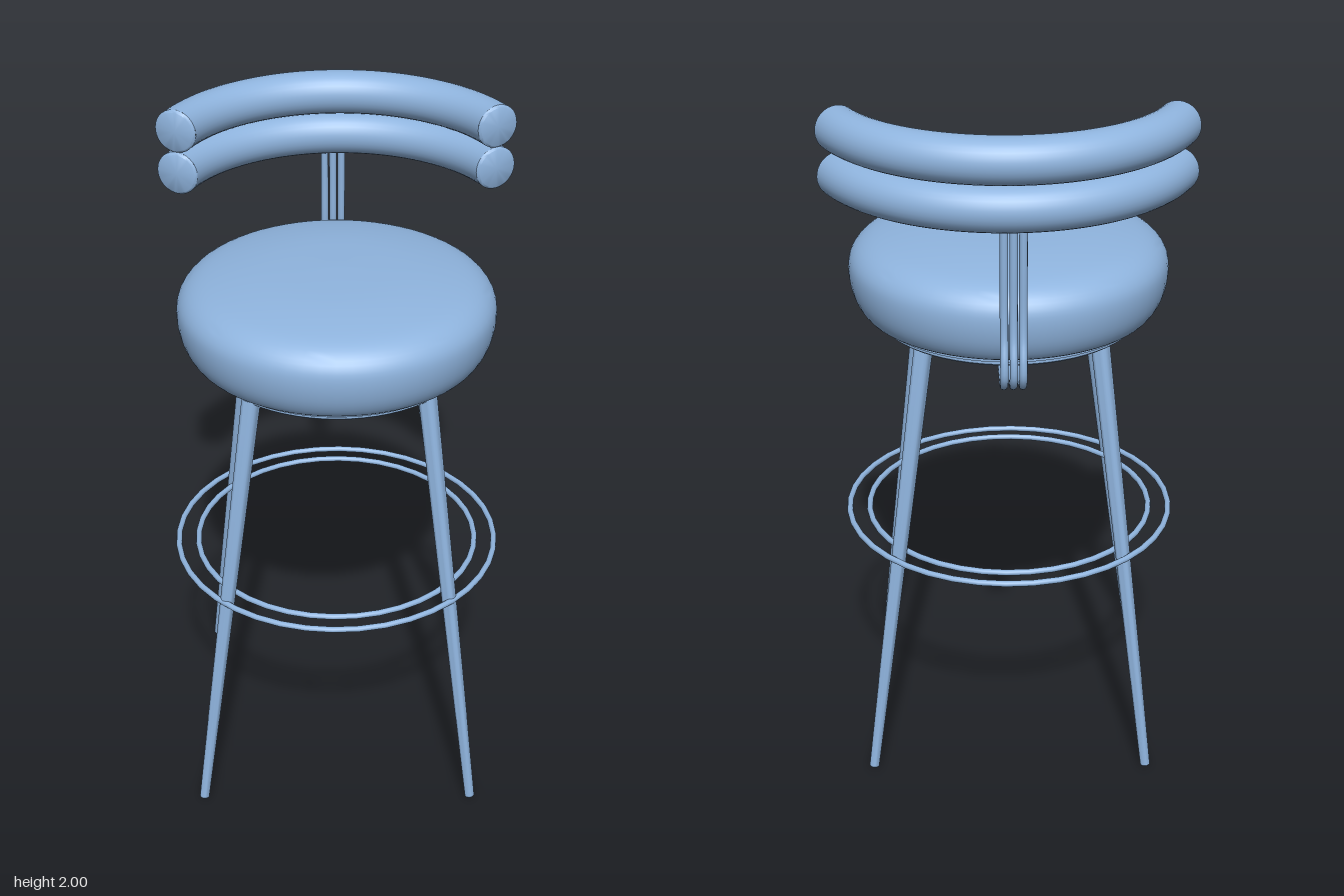
import * as THREE from 'three';
import { toCreasedNormals } from 'three/addons/utils/BufferGeometryUtils.js';

const UP = new THREE.Vector3(0, 1, 0);

export function createModel() {
  const group = new THREE.Group();
  const material = new THREE.MeshStandardMaterial({ color: 0x8fb4de });

  const add = (name, geometry, x = 0, y = 0, z = 0, parent = group) => {
    const mesh = new THREE.Mesh(geometry, material);
    mesh.name = name;
    mesh.position.set(x, y, z);
    parent.add(mesh);
    return mesh;
  };
  const lathe = (points, segments) => toCreasedNormals(
    new THREE.LatheGeometry(points.map(([r, y]) => new THREE.Vector2(r, y)), segments), 0.7);

  // Seat cushion: domed top, rounded side, tucked in at the bottom
  const side = new THREE.SplineCurve([
    [0.385, 1.352], [0.418, 1.365], [0.444, 1.41], [0.455, 1.47], [0.447, 1.52],
    [0.41, 1.558], [0.34, 1.581], [0.2, 1.6], [0, 1.607],
  ].map(([r, y]) => new THREE.Vector2(r, y)));
  const cushion = side.getPoints(32).map((p) => [Math.max(p.x, 0), p.y]);
  add('seatCushion', lathe([[0, 1.352], ...cushion], 64), -0.015, 0, -0.02);

  // Plate under the cushion
  add('seatPlate', lathe([
    [0, 1.325], [0.37, 1.325], [0.377, 1.331], [0.377, 1.341],
    [0.388, 1.343], [0.388, 1.356], [0, 1.356],
  ], 64), -0.015, 0, -0.02);

  // Four tapered, splayed legs with separate tips
  const legs = new THREE.Group();
  legs.name = 'legs';
  group.add(legs);
  const foot = new THREE.Vector3(0.555, 0, 0.165);
  const top = new THREE.Vector3(0.333, 1.335, 0.088);
  const length = foot.distanceTo(top);
  const lean = new THREE.Quaternion().setFromUnitVectors(UP, top.clone().sub(foot).normalize());
  for (let i = 0; i < 4; i++) {
    const leg = new THREE.Group();
    leg.name = 'leg';
    leg.position.set(-0.005, 0, 0);
    leg.rotation.y = -i * Math.PI / 2;
    legs.add(leg);
    const shaft = add('legShaft', lathe([
      [0, 0.003], [0.011, 0.003], [0.0145, 0.007], [0.0175, 0.29], [0.018, 0.295],
      [0.027, length], [0, length],
    ], 20), foot.x, foot.y, foot.z, leg);
    shaft.quaternion.copy(lean);
  }

  // Two concentric footrest rings
  for (const [name, r] of [['outerFootRing', 0.483], ['innerFootRing', 0.423]]) {
    const ring = new THREE.TorusGeometry(r, 0.009, 10, 40).rotateX(Math.PI / 2);
    add(name, ring, -0.012, 0.7, -0.012);
  }

  // Backrest: two stacked padded arcs with softly edged flat ends
  const R = 0.495, pad = 0.063, bevel = 0.007;
  const start = THREE.MathUtils.degToRad(55), end = THREE.MathUtils.degToRad(186.2);
  const cap = lathe([[pad, 0], [0.061, 0.004], [0.056, bevel], [0, bevel]], 32);
  for (const y of [1.812, 1.937]) {
    const roll = new THREE.Group();
    roll.name = 'backrestRoll';
    roll.position.set(0, y, -0.012);
    group.add(roll);
    const arc = new THREE.TorusGeometry(R, pad, 32, 48, end - start).rotateZ(start).rotateX(-Math.PI / 2);
    add('backrestPad', arc, 0, 0, 0, roll);
    for (const [a, s] of [[start, -1], [end, 1]]) {
      const end1 = add('backrestEnd', cap, R * Math.cos(a), 0, -R * Math.sin(a), roll);
      end1.quaternion.setFromUnitVectors(UP, new THREE.Vector3(-Math.sin(a) * s, 0, -Math.cos(a) * s));
    }
  }

  // Three parallel rods that hook from under the seat up to the backrest
  const support = new THREE.Group();
  support.name = 'backSupport';
  support.position.set(0, 0, -0.012);
  support.rotation.y = (start + end) / 2;
  group.add(support);
  const path = [
    [0.32, 1.335], [0.355, 1.312], [0.42, 1.305], [0.485, 1.312], [0.517, 1.345],
    [0.519, 1.39], [0.502, 1.45], [0.495, 1.52], [0.495, 1.65], [0.495, 1.8],
  ];
  for (const z of [-0.025, 0, 0.025]) {
    const curve = new THREE.CatmullRomCurve3(path.map(([x, y]) => new THREE.Vector3(x, y, z)));
    add('supportRod', new THREE.TubeGeometry(curve, 48, 0.011, 12), 0, 0, 0, support);
  }

  return group;
}
